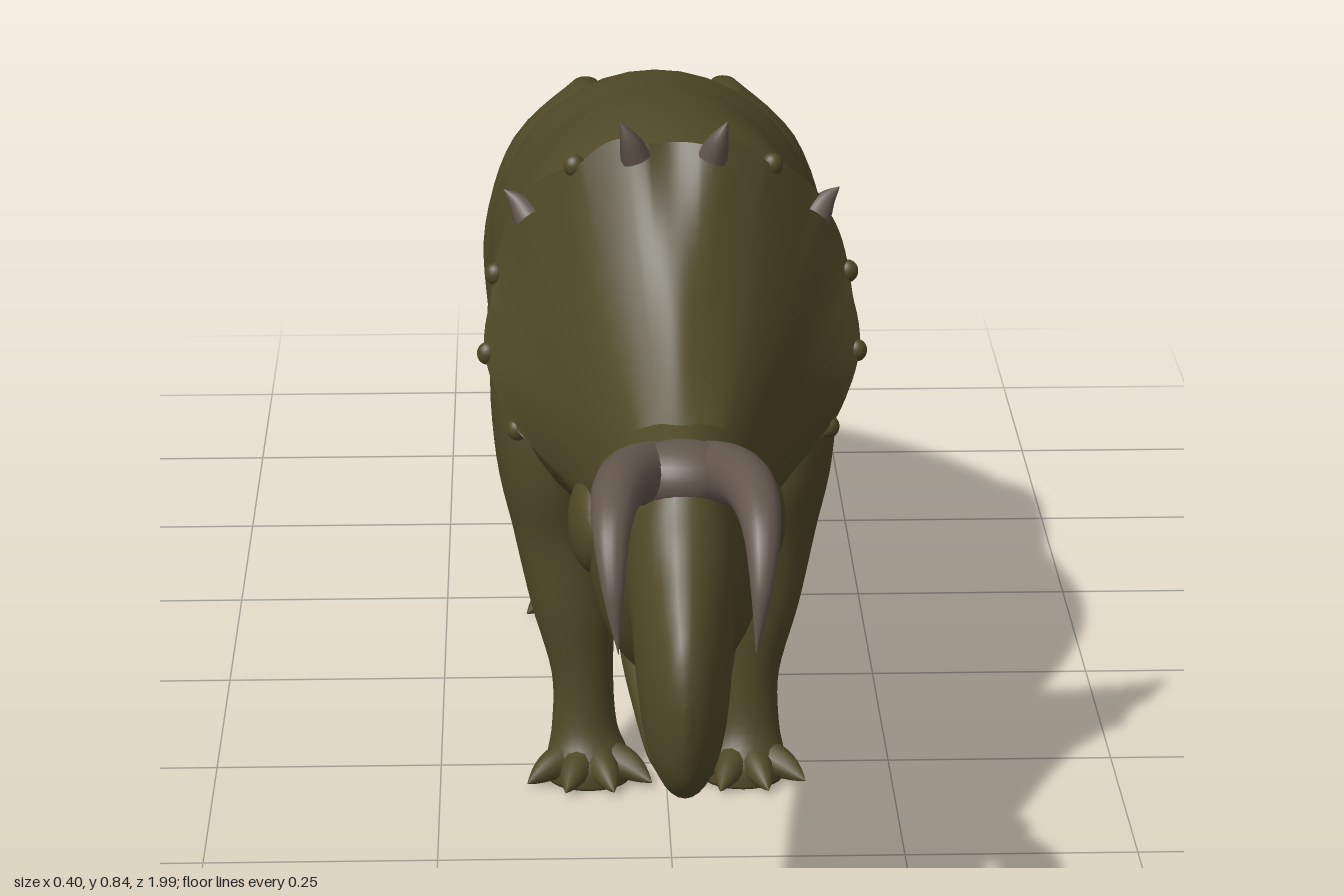
import * as THREE from 'three';
import { ParametricGeometry } from 'three/addons/geometries/ParametricGeometry.js';

const V = (x, y, z) => new THREE.Vector3(x, y, z);

// Smooth value of column k at fractional row t
function spline(rows, t, k) {
  const n = rows.length - 1, i = Math.min(Math.floor(t), n - 1), f = t - i;
  const p = j => rows[Math.max(0, Math.min(n, j))][k];
  const a = p(i - 1), b = p(i), c = p(i + 1), d = p(i + 2);
  return b + 0.5 * f * (c - a + f * (2 * a - 5 * b + 4 * c - d + f * (3 * (b - c) + d - a)));
}

// Closed loft of elliptical rings along 'z' (x, y rings) or 'y' (x, z rings)
// Row: [position on axis, x centre, other centre, x radius, other radius]
function loft(rows, axis, sides = 32, sub = 5) {
  const pos = [], index = [], n = (rows.length - 1) * sub;
  const put = (t, x, o) => (axis === 'z' ? pos.push(x, o, t) : pos.push(x, t, o));
  for (let i = 0; i <= n; i++) {
    const [t, cx, co, rx, ro] = [0, 1, 2, 3, 4].map(k => spline(rows, i / sub, k));
    for (let j = 0; j < sides; j++) {
      const a = (j / sides) * Math.PI * 2;
      const c = Math.cos(a), s = Math.sin(a);
      if (axis === 'z') put(t, cx + rx * c, co + ro * s);
      else put(t, cx + rx * s, co + ro * c);
    }
  }
  for (let i = 0; i < n; i++) for (let j = 0; j < sides; j++) {
    const k = (j + 1) % sides, a = i * sides + j, b = i * sides + k;
    index.push(a, b, b + sides, a, b + sides, a + sides);
  }
  const first = rows[0], last = rows[rows.length - 1], c0 = (n + 1) * sides;
  put(first[0], first[1], first[2]);
  put(last[0], last[1], last[2]);
  for (let j = 0; j < sides; j++) {
    const k = (j + 1) % sides;
    index.push(c0, k, j, c0 + 1, n * sides + j, n * sides + k);
  }
  const g = new THREE.BufferGeometry();
  g.setAttribute('position', new THREE.Float32BufferAttribute(pos, 3));
  g.setIndex(index);
  g.computeVertexNormals();
  return g;
}

// Side profile rows [z, bottom, top, half width] to loft rows
const profile = rows => rows.map(([z, b, t, w]) => [z, 0, (b + t) / 2, w, (t - b) / 2]);

// Tube along a curve that narrows to a point; larger power keeps it blunt
function taper(points, radius, power, segments = 24, sides = 14) {
  const curve = new THREE.CatmullRomCurve3(points);
  const g = new THREE.TubeGeometry(curve, segments, radius, sides);
  const p = g.attributes.position, v = V(0, 0, 0);
  for (let i = 0; i <= segments; i++) {
    const c = curve.getPointAt(i / segments), s = 1 - Math.pow(i / segments, power);
    for (let j = 0; j <= sides; j++) {
      const k = i * (sides + 1) + j;
      v.fromBufferAttribute(p, k).sub(c).multiplyScalar(s).add(c);
      p.setXYZ(k, v.x, v.y, v.z);
    }
  }
  return g;
}

const TORSO = profile([
  [-1, .25, .257, .003], [-.9, .24, .272, .01], [-.8, .243, .297, .017], [-.7, .258, .348, .026],
  [-.6, .283, .42, .042], [-.5, .332, .51, .064], [-.4, .355, .592, .09], [-.3, .325, .642, .148],
  [-.2, .28, .68, .188], [-.1, .258, .705, .192], [0, .255, .722, .172], [.1, .26, .737, .186],
  [.2, .275, .737, .193], [.3, .3, .705, .172], [.4, .328, .662, .135], [.5, .335, .635, .1], [.6, .335, .6, .085],
]);
const HEAD = profile([
  [.46, .35, .62, .085], [.55, .335, .62, .098], [.62, .32, .61, .1], [.7, .29, .6, .09],
  [.76, .315, .592, .076], [.81, .345, .58, .06], [.85, .335, .555, .052], [.885, .285, .505, .047],
  [.92, .262, .468, .041], [.95, .283, .435, .028], [.964, .315, .405, .016], [.971, .35, .375, .003],
]);
const JAW = profile([
  [.62, .325, .4, .06], [.69, .285, .38, .06], [.75, .252, .325, .047], [.8, .237, .29, .036], [.83, .238, .28, .029],
]);
const JAW_TIP = profile([[.82, .237, .283, .031], [.85, .244, .277, .024], [.875, .257, .278, .014], [.888, .27, .28, .002]]);
const FRONT_LEG = [
  [.002, .085, .285, .045, .04], [.025, .086, .28, .046, .042], [.06, .09, .27, .036, .034], [.12, .092, .265, .034, .033],
  [.2, .102, .258, .046, .043], [.28, .113, .237, .054, .062], [.36, .125, .22, .06, .09],
  [.46, .128, .2, .062, .1], [.56, .115, .19, .055, .08], [.64, .09, .18, .02, .03],
];
const REAR_LEG = [
  [.002, .085, -.262, .042, .045], [.025, .085, -.262, .046, .05], [.06, .085, -.267, .038, .042], [.11, .088, -.258, .037, .038],
  [.17, .092, -.245, .041, .037], [.23, .102, -.22, .053, .062], [.3, .116, -.2, .064, .105],
  [.4, .127, -.18, .069, .13], [.5, .13, -.18, .068, .12], [.6, .11, -.18, .055, .085], [.67, .08, -.18, .015, .03],
];

// Left half of the frill, top to cheek: [rim x, y, z, base x, y, z]
const FRILL = [
  [0, .812, .558, 0, .592, .775], [.05, .818, .56, .02, .592, .77], [.105, .785, .537, .04, .585, .765],
  [.155, .735, .498, .055, .57, .755], [.182, .655, .49, .066, .55, .745], [.192, .575, .508, .075, .52, .73],
  [.165, .512, .545, .08, .49, .715], [.12, .485, .6, .08, .46, .7], [.085, .45, .66, .075, .43, .69],
];
const FRILL_ROWS = [
  ...FRILL.slice(1).reverse().map(([a, b, c, d, e, f]) => [-a, b, c, -d, e, f]), ...FRILL,
];
const FRILL_END = FRILL_ROWS.length - 1;

// Front face runs base to rim, back face returns from rim to base
function frillPoint(u, v, target) {
  const t = u * FRILL_END, c = [0, 1, 2, 3, 4, 5].map(k => spline(FRILL_ROWS, t, k));
  const r = 1 - Math.abs(2 * v - 1), back = v > .5;
  const fade = Math.sin(Math.PI * u);
  const k = r * (1 + .03 * fade * r * r * (Math.abs(Math.sin(u * Math.PI * 13)) - .5));
  const ridge = .012 * Math.exp(-Math.pow((u - .5) * 22, 2)) * Math.sin(Math.PI * r);
  const sag = .026 * Math.sin(Math.PI * r) - ridge;
  const thick = back ? Math.min(1, (1 - r) * 8) * (.012 + .05 * (1 - r)) : 0;
  target.set(c[3] + (c[0] - c[3]) * k, c[4] + (c[1] - c[4]) * k - sag * .5, c[5] + (c[2] - c[5]) * k - sag - thick);
}

export function createModel() {
  const model = new THREE.Group();
  model.name = 'hornedDinosaur';
  const paint = (name, color) => {
    const m = new THREE.MeshStandardMaterial({ color });
    m.name = name;
    return m;
  };
  const skin = paint('olive skin', 0x4f4827);
  const horn = paint('horn grey', 0x63574c);
  const dark = paint('eye dark', 0x1d1a12);
  const add = (name, geometry, material, parent = model) => {
    const m = new THREE.Mesh(geometry, material);
    m.name = name;
    parent.add(m);
    return m;
  };
  const ball = (name, p, r, material) => {
    const m = add(name, new THREE.SphereGeometry(1, 24, 16), material);
    m.position.copy(p);
    m.scale.copy(r);
    return m;
  };

  // Body and head
  add('torsoAndTail', loft(TORSO, 'z', 40, 6), skin);
  add('head', loft(HEAD, 'z', 36, 6), skin);
  add('lowerJaw', loft(JAW, 'z', 24), skin);
  add('lowerBeak', loft(JAW_TIP, 'z', 20), horn);
  add('frill', new ParametricGeometry(frillPoint, 128, 32), skin);
  ball('noseBoss', V(0, .556, .815), V(.056, .034, .042), horn);

  for (const s of [1, -1]) {
    const side = s > 0 ? 'left' : 'right';

    // Brow horn curling forward and down
    add(side + 'Horn', taper([
      V(s * .028, .553, .8), V(s * .05, .565, .845), V(s * .065, .568, .9),
      V(s * .071, .55, .953), V(s * .07, .505, .982), V(s * .065, .437, .984),
    ], .031, 1.6, 40, 18), horn);

    // Eye under a brow ridge
    ball(side + 'Brow', V(s * .062, .545, .77), V(.018, .014, .03), skin);
    ball(side + 'Eye', V(s * .069, .528, .775), V(.009, .009, .011), dark);
    ball(side + 'Cheek', V(s * .078, .45, .66), V(.032, .055, .06), skin);

    // Spikes on the frill rim
    add(side + 'TopSpike', taper([V(s * .038, .8, .562), V(s * .045, .82, .564), V(s * .054, .838, .56)], .016, 1.5, 10), horn);
    add(side + 'SideSpike', taper([V(s * .145, .72, .508), V(s * .157, .735, .496), V(s * .172, .746, .485)], .016, 1.5, 10), horn);
    for (const [x, y, z] of [[.1, .785, .535], [.181, .655, .485], [.19, .575, .503], [.16, .505, .54]])
      ball(side + 'RimKnob', V(s * x, y, z), V(.011, .012, .01), skin);

    // Legs with splayed toes
    for (const [name, rows, fz, reach] of [['FrontLeg', FRONT_LEG, .275, .07], ['RearLeg', REAR_LEG, -.24, .098]]) {
      const leg = new THREE.Group();
      leg.name = side + name;
      model.add(leg);
      add('limb', loft(rows.map(([y, x, ...r]) => [y, s * x, ...r]), 'y', 28), skin, leg);
      for (const a of [-.95, -.32, .32, .95]) {
        const toe = (d, y) => V(s * .085 + Math.sin(a) * d * .085 / reach, y, fz + Math.cos(a) * d);
        add('toe', taper([toe(reach * .1, .03), toe(reach * .6, .022), toe(reach, .007)], .02, 3, 14, 12), skin, leg);
      }
    }
  }
  return model;
}
